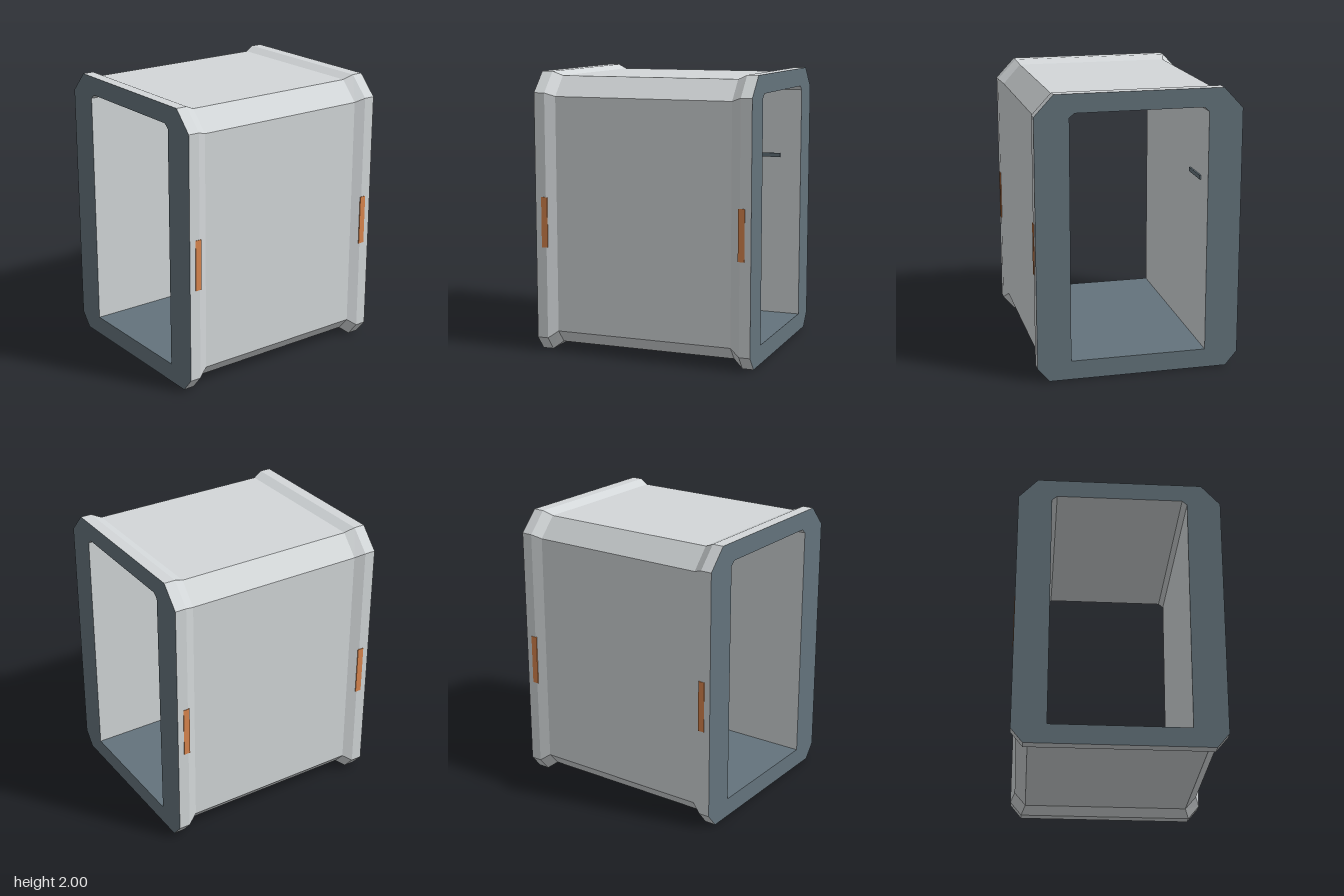
import * as THREE from 'three';

const paint = (name, color) => {
  const m = new THREE.MeshStandardMaterial({ color });
  m.name = name;
  return m;
};

// Mirrors a half profile of [z, y] points (bottom to top on +z) into a full ring.
const ring = (half) => [...half, ...half.slice().reverse().map(([z, y]) => [-z, y])];

// Skins flat quads between [x, profile] sections; closed joins the last point to the first.
function skin(sections, closed) {
  const pos = [];
  for (let i = 0; i < sections.length - 1; i++) {
    const [x0, p] = sections[i];
    const [x1, q] = sections[i + 1];
    const n = p.length;
    for (let j = 0; j < (closed ? n : n - 1); j++) {
      const k = (j + 1) % n;
      const a = [x0, p[j][1], p[j][0]], b = [x1, q[j][1], q[j][0]];
      const c = [x1, q[k][1], q[k][0]], d = [x0, p[k][1], p[k][0]];
      pos.push(...a, ...b, ...c, ...a, ...c, ...d);
    }
  }
  const g = new THREE.BufferGeometry();
  g.setAttribute('position', new THREE.Float32BufferAttribute(pos, 3));
  g.computeVertexNormals();
  return g;
}

export function createModel() {
  const group = new THREE.Group();
  const hull = paint('pale grey panel', 0xd3d7d9);
  const slate = paint('slate frame', 0x64737c);
  const orange = paint('orange marker', 0xda864e);

  const add = (name, geometry, material, x = 0, y = 0, z = 0) => {
    const mesh = new THREE.Mesh(geometry, material);
    mesh.name = name;
    mesh.position.set(x, y, z);
    group.add(mesh);
    return mesh;
  };

  // Outer shell: raised collars at both ends, recessed middle
  const collar = ring([[0.635, 0], [0.718, 0.1], [0.718, 1.855], [0.583, 2]]);
  const middle = ring([[0.605, 0.055], [0.687, 0.15], [0.687, 1.83], [0.56, 1.97]]);
  add('outerShell', skin([
    [-0.8, collar], [-0.72, collar], [-0.65, middle],
    [0.65, middle], [0.72, collar], [0.8, collar],
  ], true), hull);

  // Interior walls and ceiling, facing inward
  const opening = ring([[0.48, 0.135], [0.48, 1.84], [0.445, 1.87]]);
  const lining = opening.slice().reverse();
  add('interiorLining', skin([[-0.8, lining], [0.8, lining]], false), hull);

  // Interior floor
  add('floor', new THREE.PlaneGeometry(1.6, 0.96).rotateX(-Math.PI / 2), slate, 0, 0.135, 0);

  // End frames around the openings
  const toVectors = (pts) => pts.map(([z, y]) => new THREE.Vector2(z, y));
  const frame = new THREE.Shape(toVectors(collar));
  frame.holes.push(new THREE.Path(toVectors(opening)));
  for (const side of [-1, 1]) {
    add(side > 0 ? 'leftEndFrame' : 'rightEndFrame',
      new THREE.ShapeGeometry(frame).rotateY(side * Math.PI / 2), slate, side * 0.8);
  }

  // Marker plates on the collars, front and back
  for (const side of [-1, 1]) {
    const plate = new THREE.BoxGeometry(0.046, 0.36, 0.006);
    add('frontMarker', plate, orange, side * 0.732, 0.94, 0.719);
    add('backMarker', plate, orange, side * 0.732, 0.907, -0.719);
  }

  // Small rail on the back interior wall
  add('wallRail', new THREE.BoxGeometry(0.245, 0.03, 0.012), slate, 0.52, 1.347, -0.474);

  return group;
}
